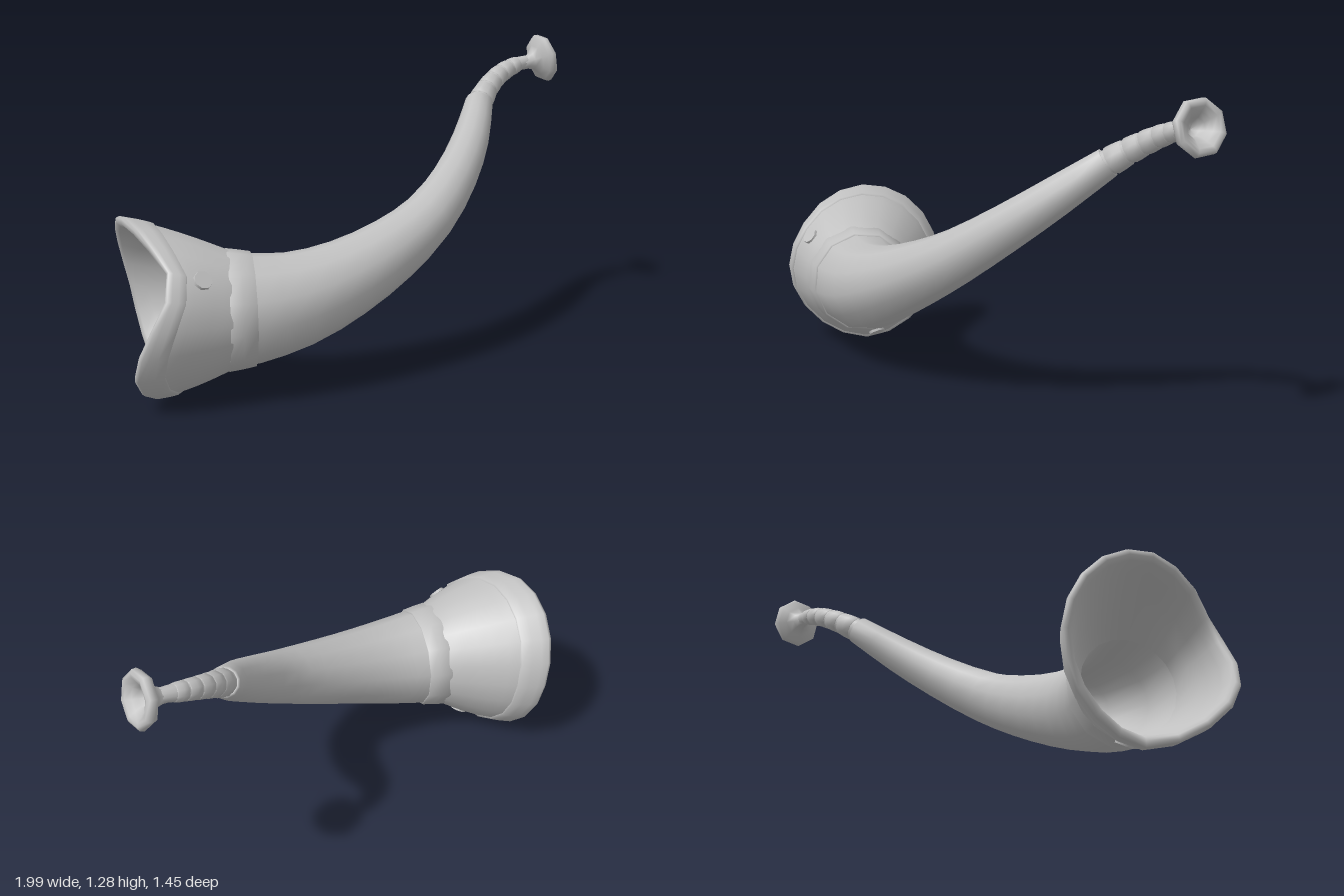
import * as THREE from 'three';

const V = (x, y, z) => new THREE.Vector3(x, y, z);

// The horn bends in one tilted plane: x, and d along this slanted direction,
// with a slight sideways bow
const D = V(0, 0.64, -0.77);
const B = V(0, 0.77, 0.64);
const BASE = V(0, 0.345, 0.415);
const place = (x, d) => V(x, 0, 0).add(BASE).addScaledVector(D, d).addScaledVector(B, 0.045 * d * (1 - d));

// Surface through closed rings of points
function loft(rows, sides, point) {
  const pos = [], idx = [];
  for (let i = 0; i < rows; i++) {
    for (let j = 0; j < sides; j++) pos.push(...point(i, (j / sides) * Math.PI * 2).toArray());
  }
  for (let i = 0; i < rows - 1; i++) {
    for (let j = 0; j < sides; j++) {
      const k = (j + 1) % sides;
      const a = i * sides + j, b = i * sides + k, c = a + sides, e = b + sides;
      idx.push(a, b, c, b, e, c);
    }
  }
  const g = new THREE.BufferGeometry();
  g.setAttribute('position', new THREE.Float32BufferAttribute(pos, 3));
  g.setIndex(idx);
  g.computeVertexNormals();
  return g;
}

// Control points hold x, d and the radius
const control = (list) => new THREE.CatmullRomCurve3(list.map((p) => V(...p)));

// Tube along a curve; stations are [t, radius factor]
function sweep(curve, stations, sides) {
  return loft(stations.length, sides, (i, a) => {
    const [t, k] = stations[i];
    const p = curve.getPoint(t);
    const q = curve.getTangent(t);
    const len = Math.hypot(q.x, q.y);
    const n = V(-q.y / len, 0, 0).addScaledVector(D, q.x / len);
    const r = p.z * k;
    return place(p.x, p.y).addScaledVector(n, r * Math.cos(a)).addScaledVector(B, r * Math.sin(a));
  });
}

// Wavy rim: x offset every 30 degrees, from the front over the top
const RIM_X = [-0.87, -0.80, -0.89, -0.97, -1.0, -0.99, -0.955, -0.92, -0.87, -0.82, -0.90, -0.935];
const rim = new THREE.CatmullRomCurve3(RIM_X.map((x, i) => {
  const a = (i * Math.PI) / 6;
  return V(x, 0.355 + 0.355 * Math.sin(a), 0.36 + 0.362 * Math.cos(a));
}), true);

// Point on the bell: s = 0 at the collar, 1 at the rim
function bell(s, a, off = 0) {
  const out = V(0, Math.sin(a), Math.cos(a));
  const start = V(-0.57, 0.345, 0.415).addScaledVector(out, 0.231);
  return start.lerp(rim.getPoint(a / (Math.PI * 2)), s)
    .addScaledVector(out, off + 0.01 * Math.sin(Math.PI * s));
}

export function createModel() {
  const model = new THREE.Group();
  const grey = new THREE.MeshStandardMaterial({ color: 0xc0c0c0 });
  grey.name = 'light grey';
  const add = (name, geometry) => {
    const mesh = new THREE.Mesh(geometry, grey);
    mesh.name = name;
    model.add(mesh);
    return mesh;
  };
  const even = (n) => Array.from({ length: n + 1 }, (_, i) => [i / n, 1]);

  // Curved horn body, closed at its narrow end
  const body = control([
    [-0.59, 0, 0.228], [-0.48, 0.003, 0.214], [-0.3, 0.038, 0.187], [-0.1, 0.125, 0.158],
    [0.1, 0.255, 0.132], [0.26, 0.4, 0.112], [0.41, 0.615, 0.094], [0.515, 0.83, 0.079],
    [0.592, 1.05, 0.061],
  ]);
  add('hornBody', sweep(body, [...even(16), [1, 0.8]], 12));

  // Collar where the bell joins the horn
  const collar = control([[-0.58, 0, 0.238], [-0.53, 0, 0.231], [-0.48, 0.001, 0.222]]);
  add('collar', sweep(collar, [[0, 0.95], [0, 1], [0.5, 1], [1, 1], [1, 0.95]], 12));

  // Bell wall, then the raised lip that rolls over to the inside
  add('bellWall', loft(6, 20, (i, a) => bell(i * 0.145, a)));
  const lip = [
    [0.69, -0.004], [0.7, 0.008], [0.8, 0.007], [0.9, 0.004], [0.97, 0.002], [1, -0.008],
    [1, -0.027], [0.96, -0.038], [0.8, -0.041], [0.55, -0.04], [0.3, -0.038], [0, -0.034],
  ];
  add('bellLip', loft(lip.length, 20, (i, a) => bell(lip[i][0], a, lip[i][1])));

  // Hollow throat inside the horn
  const throat = [[-0.57, 0, 0.197], [-0.4, 0.02, 0.17], [-0.2, 0.08, 0.13], [0, 0.19, 0.08], [0.1, 0.25, 0]];
  add('throat', loft(throat.length, 20, (i, a) => {
    const [x, d, r] = throat[i];
    return place(x, d).addScaledVector(V(0, Math.sin(a), Math.cos(a)), r);
  }));

  // Flat studs beside the lip
  for (const deg of [36, 259]) {
    const a = THREE.MathUtils.degToRad(deg);
    const stud = add('bellStud', new THREE.CylinderGeometry(0.036, 0.038, 0.012, 8));
    const along = bell(0.55, a).sub(bell(0.35, a));
    const around = bell(0.45, a + 0.1).sub(bell(0.45, a - 0.1));
    stud.position.copy(bell(0.45, a));
    stud.quaternion.setFromUnitVectors(V(0, 1, 0), around.cross(along).normalize());
  }

  // Neck with low overlapping beads
  const neck = control([
    [0.575, 1.01, 0.055], [0.645, 1.135, 0.046], [0.72, 1.225, 0.04], [0.8, 1.283, 0.034], [0.87, 1.312, 0.027],
  ]);
  add('neck', sweep(neck, even(12), 12));
  for (let i = 0; i < 5; i++) {
    const t = 0.1 + i * 0.145;
    add('neckBead', sweep(neck, [[t, 0.9], [t + 0.004, 1.1], [t + 0.06, 1.12], [t + 0.125, 1.08], [t + 0.135, 0.95]], 10));
  }

  // Eight-sided cup mouthpiece with a thick rounded rim
  const profile = [
    [0.026, -0.13], [0.029, -0.1], [0.04, -0.07], [0.068, -0.048], [0.1, -0.036], [0.11, -0.018],
    [0.107, 0], [0.094, 0.008], [0.078, 0.004], [0.058, -0.014], [0.04, -0.032], [0.028, -0.06], [0, -0.07],
  ].map(([r, y]) => new THREE.Vector2(r, y));
  const cup = add('mouthpiece', new THREE.LatheGeometry(profile, 8));
  cup.position.copy(place(0.953, 1.336));
  cup.quaternion.setFromUnitVectors(V(0, 1, 0), V(0.94, 0, 0).addScaledVector(D, 0.34).normalize());

  return model;
}
